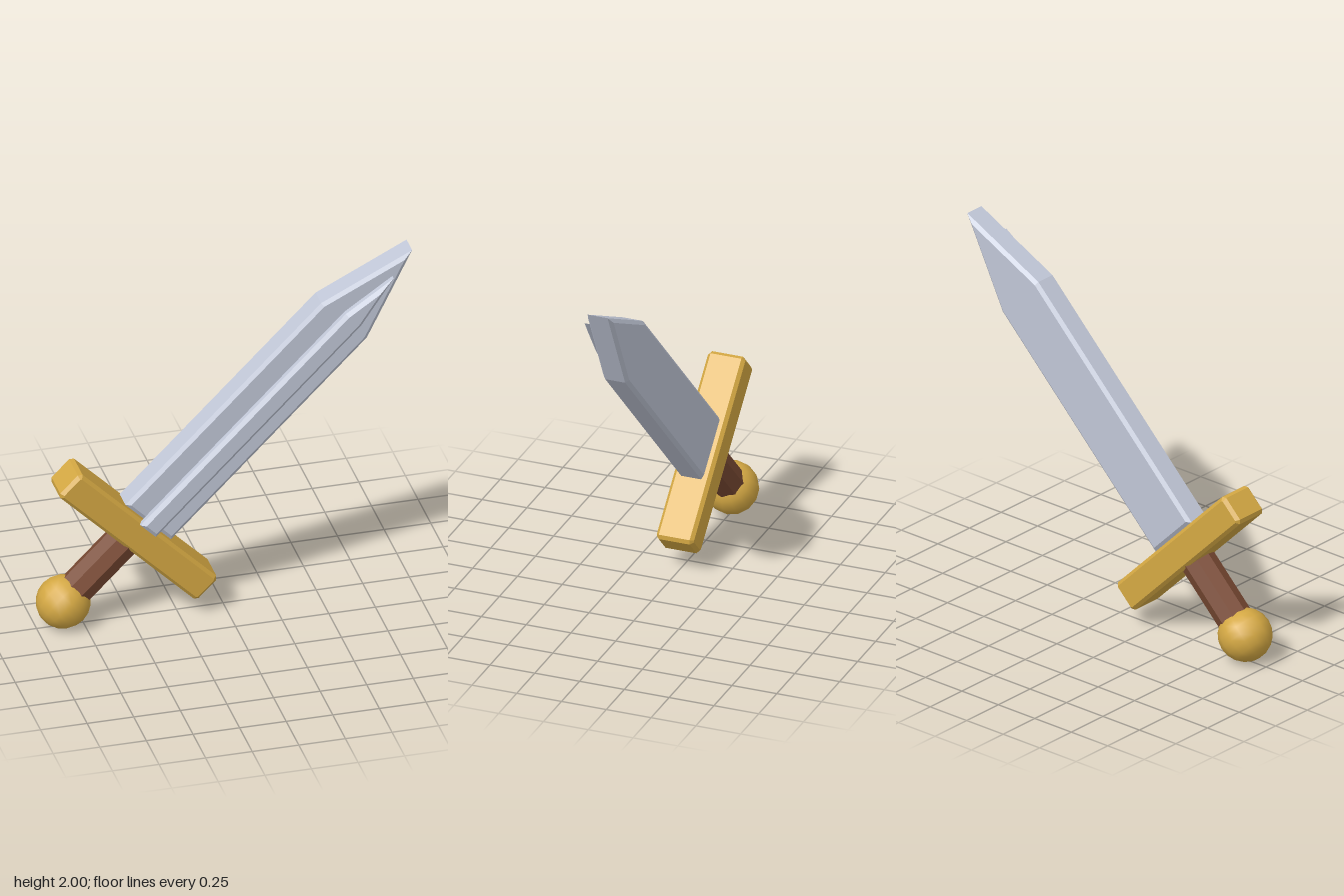
import * as THREE from 'three';
import { ConvexGeometry } from 'three/addons/geometries/ConvexGeometry.js';

const steel = new THREE.MeshStandardMaterial({ color: 0xc0c6d6 });
steel.name = 'steel';
const gold = new THREE.MeshStandardMaterial({ color: 0xd4a843 });
gold.name = 'gold';
const leather = new THREE.MeshStandardMaterial({ color: 0x7a4a33, flatShading: true });
leather.name = 'leather';

// Moves every edge of a counter-clockwise convex outline inwards by d
function inset(outline, d) {
  const n = outline.length;
  const normal = (a, b) => new THREE.Vector2(a.y - b.y, b.x - a.x).normalize();
  return outline.map((p, i) => {
    const n1 = normal(outline[(i + n - 1) % n], p);
    const n2 = normal(p, outline[(i + 1) % n]);
    return n1.clone().add(n2).multiplyScalar(d / (1 + n1.dot(n2))).add(p);
  });
}

// Convex slab with chamfered rims on its front and back faces
function chamferedSlab(name, points, halfDepth, bevel, bevelDepth, material) {
  const outline = points.map(([x, y]) => new THREE.Vector2(x, y));
  const inner = inset(outline, bevel);
  const corners = [];
  for (const side of [-1, 1]) {
    for (const p of outline) corners.push(new THREE.Vector3(p.x, p.y, side * (halfDepth - bevelDepth)));
    for (const p of inner) corners.push(new THREE.Vector3(p.x, p.y, side * halfDepth));
  }
  const mesh = new THREE.Mesh(new ConvexGeometry(corners), material);
  mesh.name = name;
  return mesh;
}

// Pointed blade outline: half width, base, shoulder and tip heights
const bladeOutline = (w, base, shoulder, tip) =>
  [[-w, base], [w, base], [w, shoulder], [0, tip], [-w, shoulder]];

export function createModel() {
  const model = new THREE.Group();
  model.name = 'sword';

  // The sword is built upright, then tilted
  const sword = new THREE.Group();
  sword.name = 'tiltedSword';
  sword.rotation.z = -Math.PI / 4;
  sword.position.y = 1;
  model.add(sword);

  // Blade and the raised rib on its front
  sword.add(chamferedSlab('blade', bladeOutline(0.173, -0.589, 0.897, 1.414), 0.0715, 0.02, 0.016, steel));
  const rib = chamferedSlab('bladeRib', bladeOutline(0.058, -0.613, 0.945, 1.25), 0.031, 0.02, 0.018, steel);
  rib.position.z = 0.106;
  sword.add(rib);

  // Crossguard with cut corners
  const w = 0.525, h = 0.085, c = 0.018;
  const guard = chamferedSlab('crossguard', [
    [-w + c, -h], [w - c, -h], [w, -h + c], [w, h - c],
    [w - c, h], [-w + c, h], [-w, h - c], [-w, -h + c],
  ], 0.104, c, c, gold);
  guard.position.y = -0.676;
  sword.add(guard);

  // Eight-sided grip
  const grip = new THREE.Mesh(new THREE.CylinderGeometry(0.095, 0.095, 0.5, 8), leather);
  grip.name = 'grip';
  grip.position.y = -0.92;
  sword.add(grip);

  // Pommel
  const pommel = new THREE.Mesh(new THREE.SphereGeometry(0.143, 14, 10), gold);
  pommel.name = 'pommel';
  pommel.position.y = -1.212;
  sword.add(pommel);

  return model;
}
